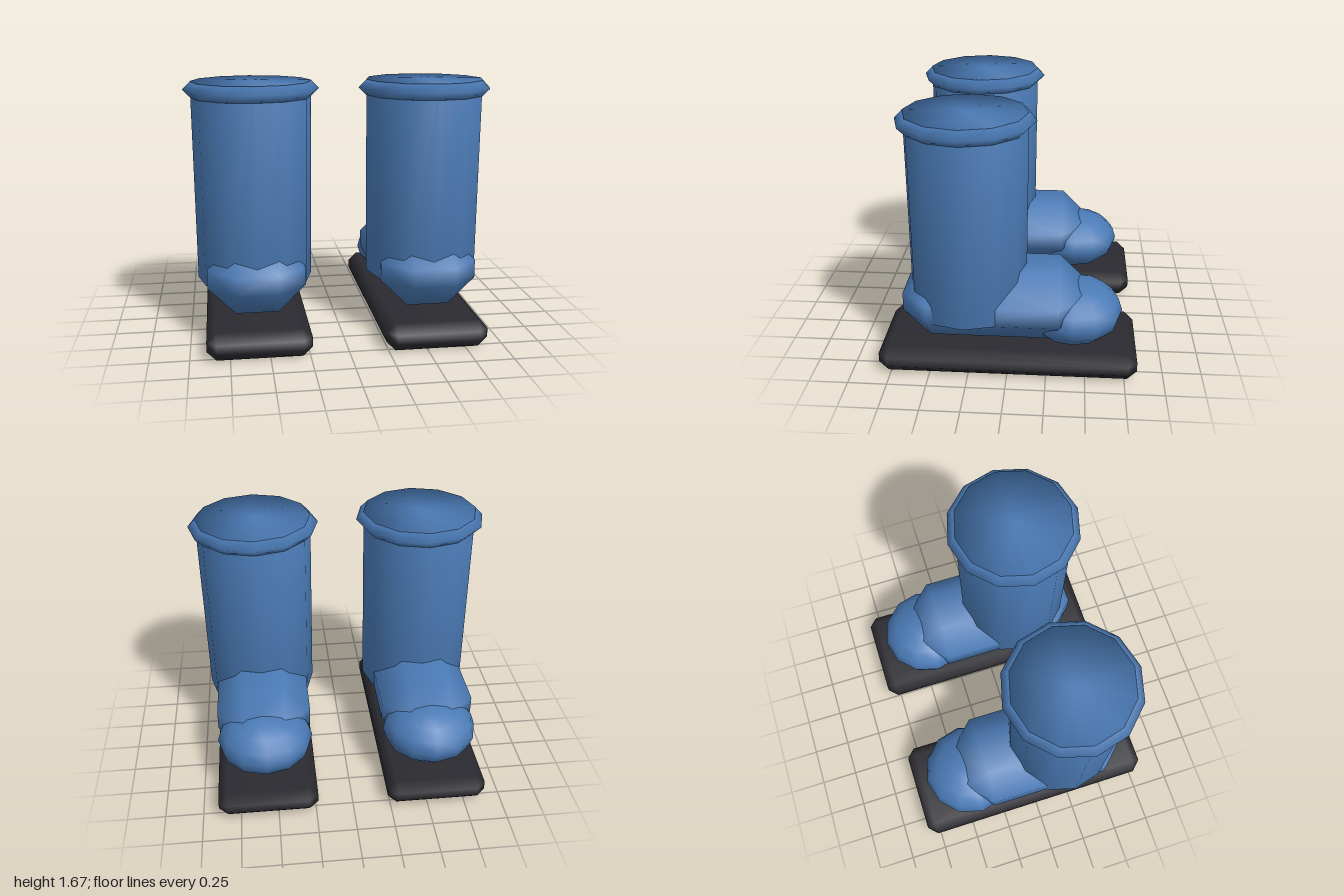
import * as THREE from 'three';
import { mergeVertices } from 'three/addons/utils/BufferGeometryUtils.js';
import { ConvexGeometry } from 'three/addons/geometries/ConvexGeometry.js';

// Weld all vertices so the low-poly shapes are shaded softly across edges
function soften(geometry) {
  geometry.deleteAttribute('normal');
  geometry.deleteAttribute('uv');
  const welded = mergeVertices(geometry, 1e-4);
  welded.computeVertexNormals();
  return welded;
}

// Box with every edge chamfered by c (hx, hy, hz are half sizes)
function chamferBox(hx, hy, hz, c) {
  const points = [];
  for (const x of [-1, 1]) for (const y of [-1, 1]) for (const z of [-1, 1]) {
    points.push(
      new THREE.Vector3(x * hx, y * (hy - c), z * (hz - c)),
      new THREE.Vector3(x * (hx - c), y * hy, z * (hz - c)),
      new THREE.Vector3(x * (hx - c), y * (hy - c), z * hz));
  }
  return soften(new ConvexGeometry(points));
}

export function createModel() {
  const blue = new THREE.MeshStandardMaterial({ color: 0x4a7ab5 });
  blue.name = 'bootBlue';
  const dark = new THREE.MeshStandardMaterial({ color: 0x2b2a30 });
  dark.name = 'soleCharcoal';

  const rimGeometry = new THREE.TorusGeometry(0.385, 0.05, 4, 12).rotateX(Math.PI / 2);
  const toeGeometry = new THREE.SphereGeometry(1, 12, 8).scale(0.32, 0.2, 0.32);

  // name, geometry, material, y, z
  const parts = [
    ['sole', chamferBox(0.33, 0.09, 0.83, 0.06), dark, 0.09, 0],
    ['foot', chamferBox(0.315, 0.235, 0.5875, 0.175), blue, 0.435, 0.0925],
    ['toeCap', soften(toeGeometry), blue, 0.35, -0.415],
    ['shaft', soften(new THREE.CylinderGeometry(0.385, 0.375, 1.295, 12)), blue, 1.0275, 0.265],
    ['rim', soften(rimGeometry), blue, 1.622, 0.265],
  ];

  const model = new THREE.Group();
  model.name = 'boots';
  for (const side of [1, -1]) {
    const boot = new THREE.Group();
    boot.name = side > 0 ? 'leftBoot' : 'rightBoot';
    boot.position.x = side * 0.565;
    for (const [name, geometry, material, y, z] of parts) {
      const mesh = new THREE.Mesh(geometry, material);
      mesh.name = name;
      mesh.position.set(0, y, z);
      boot.add(mesh);
    }
    model.add(boot);
  }
  return model;
}
